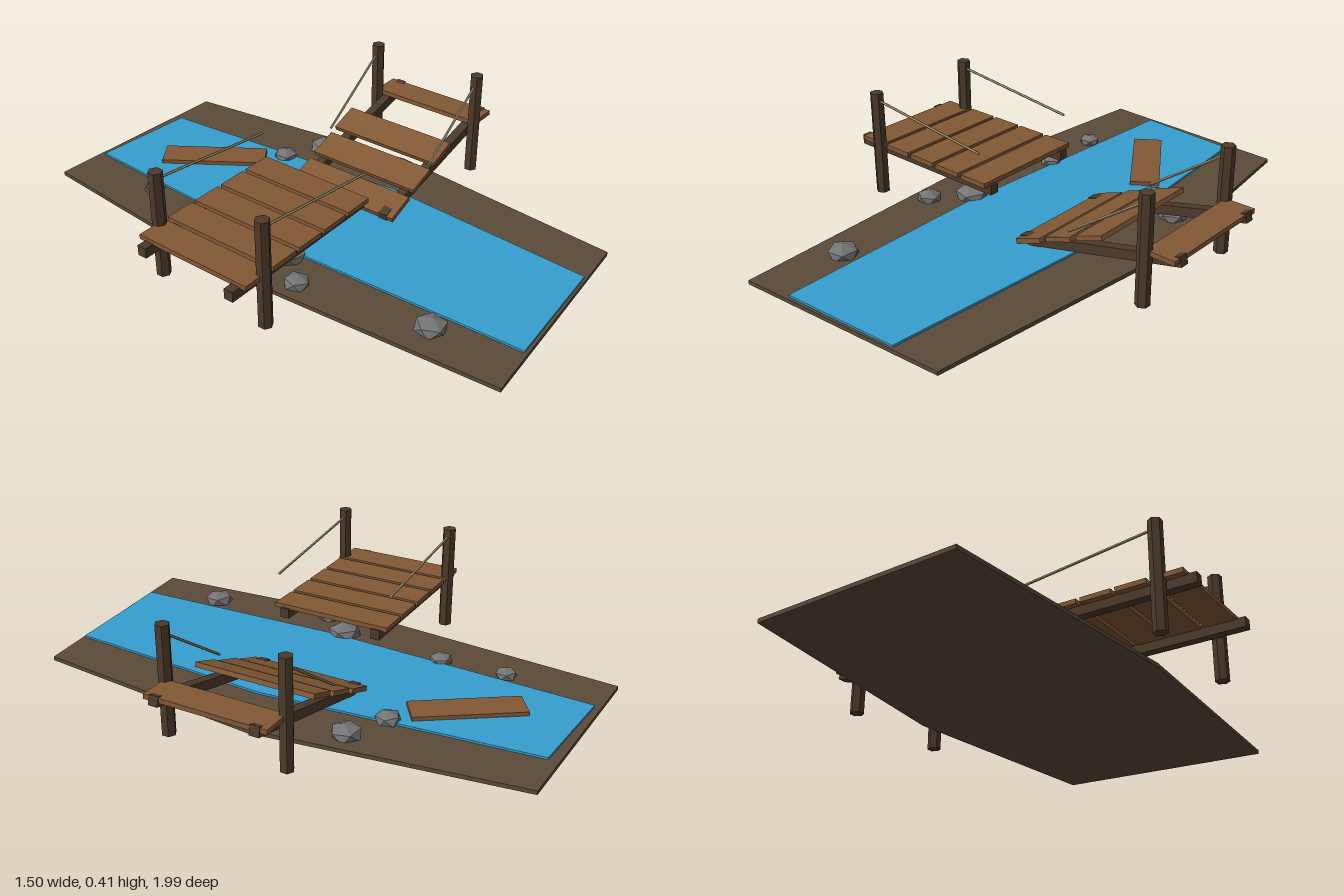
import * as THREE from 'three';

const mat = (name, color) => {
  const m = new THREE.MeshStandardMaterial({ color });
  m.name = name;
  m.flatShading = true;
  return m;
};

export function createModel() {
  const earth = mat('earth brown', 0x5a4a39);
  const blue = mat('water blue', 0x369fd0);
  const wood = mat('plank wood', 0x825835);
  const darkWood = mat('dark timber', 0x4c3a2b);
  const stone = mat('stone grey', 0x747474);
  const hemp = mat('rope tan', 0xa4956f);

  const model = new THREE.Group();
  model.name = 'brokenBridge';

  const add = (name, geometry, material, x = 0, y = 0, z = 0) => {
    const mesh = new THREE.Mesh(geometry, material);
    mesh.name = name;
    mesh.position.set(x, y, z);
    model.add(mesh);
    return mesh;
  };

  // Flat slab from an outline of [x, z] points
  const slab = (outline, height) => {
    const shape = new THREE.Shape(outline.map(([x, z]) => new THREE.Vector2(x, -z)));
    return new THREE.ExtrudeGeometry(shape, { depth: height, bevelEnabled: false }).rotateX(-Math.PI / 2);
  };

  // River bank and water
  add('riverBank', slab([[-0.41, -1], [-0.5, 0], [-0.44, 0.99], [0.4, 0.93], [0.495, 0], [0.37, -0.97]], 0.015), earth);
  add('water', slab([[-0.22, -0.97], [-0.28, 0.1], [-0.255, 0.965], [0.21, 0.935], [0.27, 0.1], [0.185, -0.94]], 0.018), blue, 0, 0.005);

  // Hexagonal posts, beams and ropes, mirrored across the bridge
  const rope = (x1, y1, x2, y2, z) => {
    const dx = x2 - x1, dy = y2 - y1;
    const mesh = add('rope', new THREE.CylinderGeometry(0.005, 0.005, Math.hypot(dx, dy), 5), hemp, (x1 + x2) / 2, (y1 + y2) / 2, z);
    mesh.rotation.z = Math.atan2(dy, dx) - Math.PI / 2;
  };
  for (const side of [-1, 1]) {
    for (const x of [-0.628, 0.622]) {
      add('post', new THREE.CylinderGeometry(0.026, 0.026, 0.408, 6), darkWood, x, 0.204, side * 0.23);
    }
    add('leftBeam', new THREE.BoxGeometry(0.685, 0.038, 0.036), darkWood, -0.41, 0.174, side * 0.19);
    add('fallenBeam', new THREE.BoxGeometry(0.69, 0.036, 0.036), darkWood, 0.41, 0.112, side * 0.19).rotation.z = 0.242;
    rope(-0.61, 0.376, -0.1, 0.316, side * 0.23);
    rope(0.61, 0.367, 0.31, 0.158, side * 0.23);
  }

  // Deck planks: [x, y, tilt]
  const planks = [[0.13, 0.054, 0.35], [0.265, 0.109, 0.35], [0.398, 0.163, 0.35], [0.682, 0.198, 0]];
  for (let i = 0; i < 5; i++) planks.push([-0.66 + i * 0.1315, 0.198, 0]);
  for (const [x, y, tilt] of planks) {
    add('plank', new THREE.BoxGeometry(0.116, 0.018, 0.466), wood, x, y, 0).rotation.z = tilt;
  }

  // Plank drifting on the water
  add('floatingPlank', new THREE.BoxGeometry(0.114, 0.016, 0.406), wood, 0.028, 0.03, -0.598).rotation.y = 0.6;

  // Faceted rocks resting on the ground: [x, z, radius, turn]
  const rocks = [
    [-0.285, -0.62, 0.043, 0.4], [-0.278, -0.365, 0.046, 1.1], [0.212, -0.385, 0.05, 0.2],
    [0.365, -0.305, 0.06, 0.8], [-0.335, 0.67, 0.06, 0.5], [-0.31, 0.06, 0.068, 0.1], [-0.415, 0.185, 0.05, 1],
  ];
  for (const [x, z, r, turn] of rocks) {
    const geometry = new THREE.IcosahedronGeometry(r, 0).rotateZ(-0.5536).rotateX(0.12).rotateY(turn).scale(1, 0.62, 1);
    geometry.translate(0, 0.024, 0);
    const p = geometry.attributes.position;
    for (let i = 0; i < p.count; i++) p.setY(i, Math.max(p.getY(i), 0.002));
    geometry.computeVertexNormals();
    add('rock', geometry, stone, x, 0, z);
  }

  return model;
}
